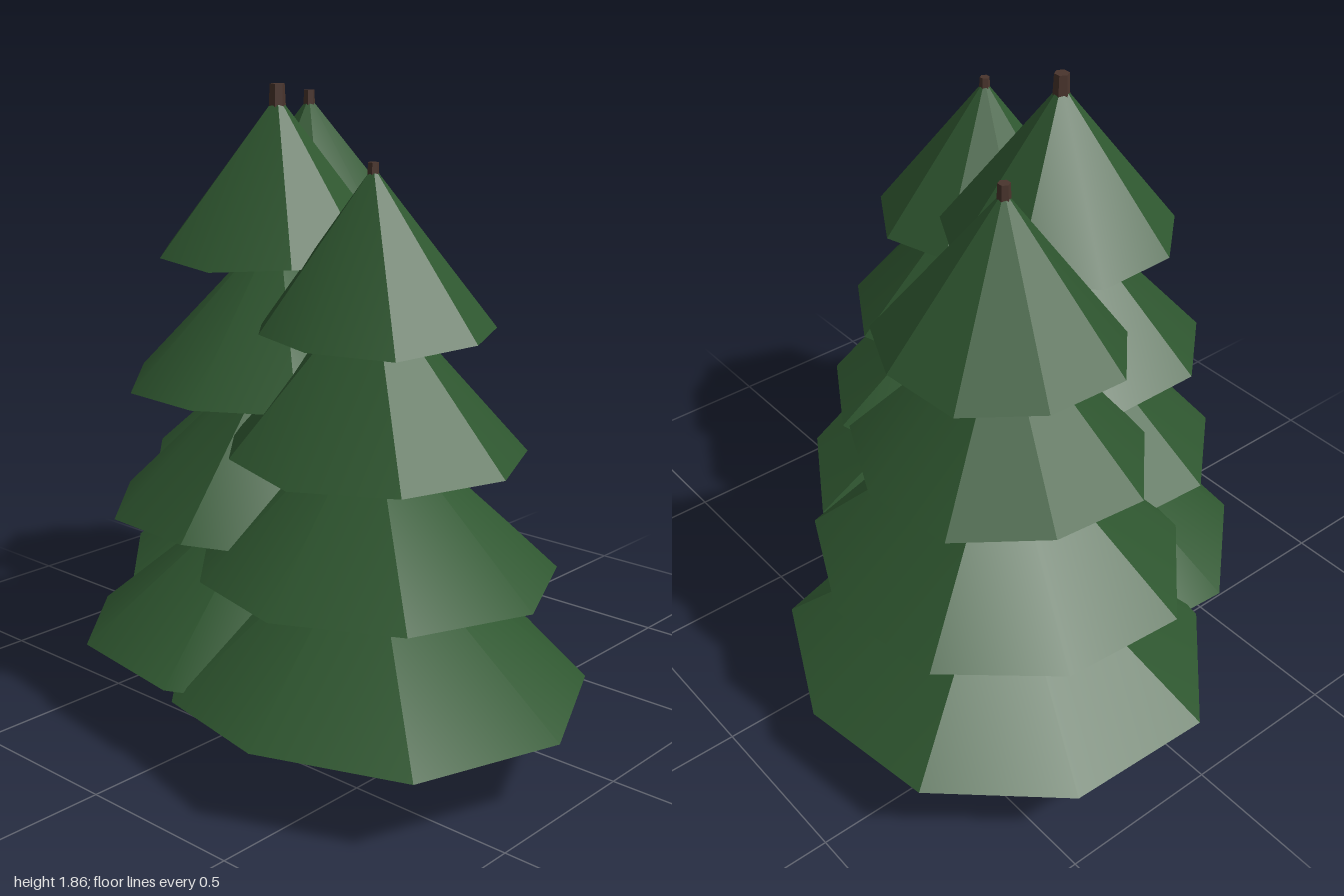
import * as THREE from 'three';
import { toCreasedNormals } from 'three/addons/utils/BufferGeometryUtils.js';

const needles = new THREE.MeshStandardMaterial({ color: 0x2f5730, side: THREE.DoubleSide });
needles.name = 'needle green';
const bark = new THREE.MeshStandardMaterial({ color: 0x4a352d });
bark.name = 'bark brown';

// Each tier is [rim height, apex height, size]; rim lists the lowest tier's
// nine radii, starting at +x and turning towards +z.
const TREES = [
  {
    name: 'backTree', x: -0.375, z: -0.255, height: 1.805, trunk: [0.095, 0.017],
    rim: [0.62, 0.62, 0.61, 0.61, 0.66, 0.636, 0.637, 0.62, 0.66],
    tiers: [[0.24, 0.73, 1], [0.61, 1.1, 0.85], [0.98, 1.44, 0.66], [1.335, 1.785, 0.55]],
  },
  {
    name: 'middleTree', x: -0.07, z: 0.2, height: 1.855, trunk: [0.11, 0.022],
    rim: [0.6, 0.6, 0.585, 0.6, 0.615, 0.6, 0.59, 0.59, 0.6],
    tiers: [[0.235, 0.74, 1], [0.625, 1.12, 0.84], [1.0, 1.47, 0.74], [1.375, 1.825, 0.58]],
  },
  {
    name: 'rightTree', x: 0.35, z: 0.27, height: 1.67, trunk: [0.099, 0.015],
    rim: [0.65, 0.67, 0.605, 0.58, 0.6, 0.6, 0.6, 0.62, 0.61],
    tiers: [[0.22, 0.7, 1], [0.555, 1.02, 0.85], [0.885, 1.36, 0.7], [1.22, 1.66, 0.55]],
  },
];

// Hollow nine-sided skirt of branches with a slightly uneven rim
function tierGeometry(rim, [low, high, size], phase) {
  const corners = rim.map((r, i) => {
    const a = (i / rim.length) * Math.PI * 2;
    const y = low + 0.009 * Math.sin(i * 2.3 + phase);
    return [Math.cos(a) * r * size, y, Math.sin(a) * r * size];
  });
  const points = [];
  corners.forEach((corner, i) => {
    const next = corners[(i + 1) % corners.length];
    points.push(0, high, 0, ...next, ...corner);
  });
  const geometry = new THREE.BufferGeometry();
  geometry.setAttribute('position', new THREE.Float32BufferAttribute(points, 3));
  return toCreasedNormals(geometry, 0.5);
}

function createTree({ name, x, z, height, trunk, rim, tiers }, index) {
  const tree = new THREE.Group();
  tree.name = name;
  tree.position.set(x, 0, z);

  // Tapered six-sided trunk, poking out at the tip
  const trunkGeometry = new THREE.CylinderGeometry(trunk[1], trunk[0], height, 6);
  trunkGeometry.rotateY(Math.PI / 6).translate(0, height / 2, 0);
  const trunkMesh = new THREE.Mesh(toCreasedNormals(trunkGeometry, 0.5), bark);
  trunkMesh.name = 'trunk';
  tree.add(trunkMesh);

  // Branch tiers from bottom to top
  tiers.forEach((tier, i) => {
    const mesh = new THREE.Mesh(tierGeometry(rim, tier, index * 2 + i * 1.3), needles);
    mesh.name = `branchTier${i + 1}`;
    tree.add(mesh);
  });
  return tree;
}

export function createModel() {
  const group = new THREE.Group();
  group.name = 'pineTrees';
  TREES.forEach((spec, i) => group.add(createTree(spec, i)));
  return group;
}
